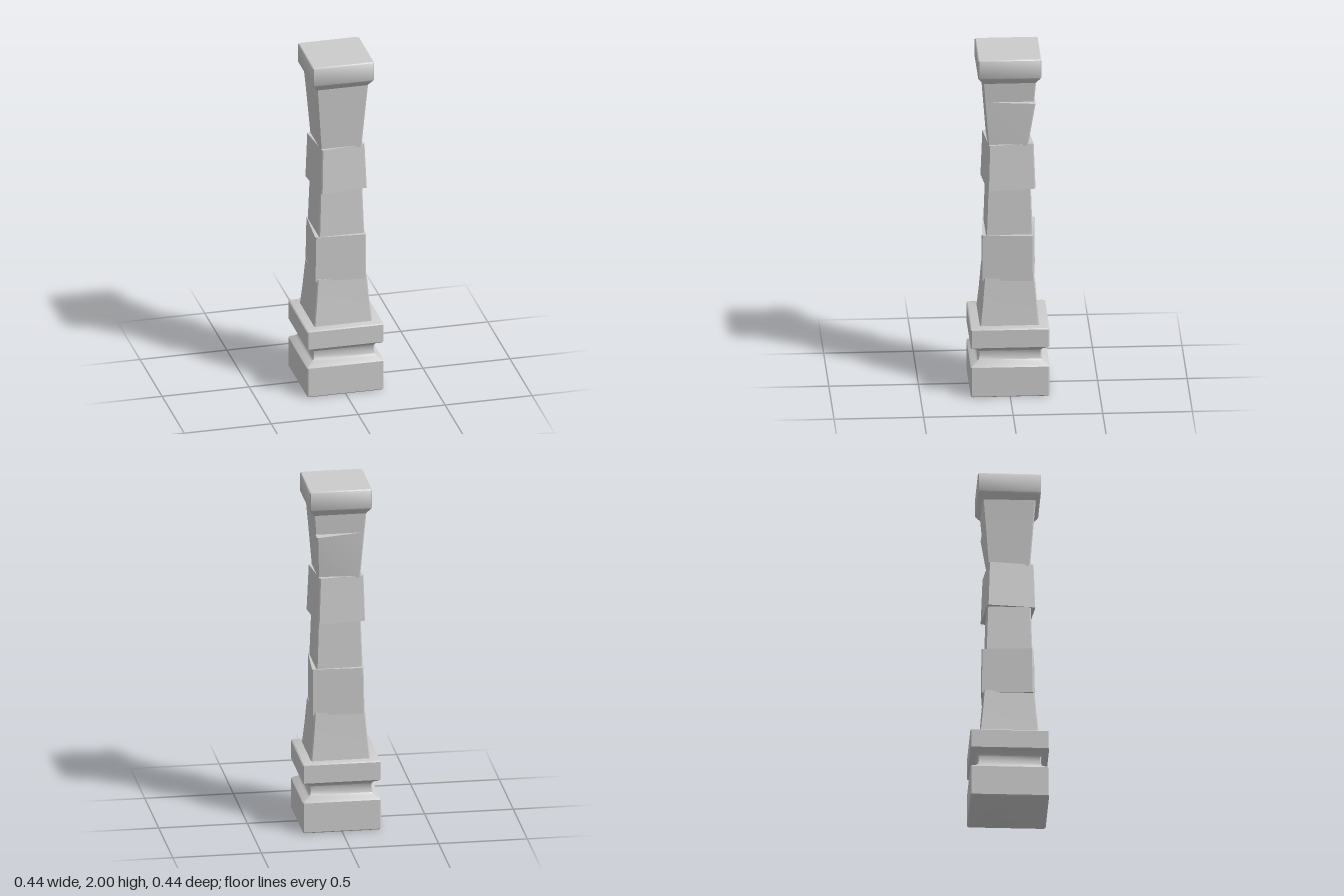
import * as THREE from 'three';
import { toCreasedNormals } from 'three/addons/utils/BufferGeometryUtils.js';

const material = new THREE.MeshStandardMaterial({ color: 0xcccccc });

// Square section of half-width h with chamfered corners
function section(h, y, bevel) {
  const k = h - bevel;
  return [[h, -k], [h, k], [k, h], [-k, h], [-h, k], [-h, -k], [-k, -h], [k, -h]]
    .map(([x, z]) => new THREE.Vector3(x, y, z));
}

// Stone lofted through [y, half-width] levels; warp may shift its points
function stone(name, levels, { bevel = 0.006, turn = 0, tilt = 0, warp } = {}) {
  const rings = levels.map(([y, h]) => section(h, y, bevel));
  if (warp) rings.flat().forEach(warp);
  const points = [];
  for (let i = 0; i < rings.length - 1; i++) {
    for (let j = 0; j < 8; j++) {
      const n = (j + 1) % 8;
      const a = rings[i][j], b = rings[i][n], c = rings[i + 1][n], d = rings[i + 1][j];
      points.push(a, d, c, a, c, b);
    }
  }
  const low = rings[0], top = rings[rings.length - 1];
  for (let j = 1; j < 7; j++) {
    points.push(low[0], low[j], low[j + 1]);
    points.push(top[0], top[j + 1], top[j]);
  }
  const geometry = toCreasedNormals(new THREE.BufferGeometry().setFromPoints(points), 0.7);
  // Turn about the middle of the stone
  const mid = (levels[0][0] + levels[levels.length - 1][0]) / 2;
  geometry.translate(0, -mid, 0).rotateZ(tilt).rotateY(turn).translate(0, mid, 0);
  const mesh = new THREE.Mesh(geometry, material);
  mesh.name = name;
  return mesh;
}

export function createModel() {
  const group = new THREE.Group();
  group.name = 'stonePillar';

  // Plinth with a cove running round it
  group.add(stone('base', [
    [0, 0.214], [0.006, 0.22], [0.177, 0.22], [0.184, 0.214], [0.198, 0.19], [0.21, 0.179],
    [0.235, 0.176], [0.262, 0.177], [0.274, 0.185], [0.288, 0.212], [0.295, 0.22],
    [0.4, 0.22], [0.406, 0.214],
  ]));

  // Tapering shaft stones, with two larger twisted stones between them
  group.add(stone('lowerShaft', [[0.4, 0.167], [0.53, 0.154], [0.68, 0.142]]));
  group.add(stone('lowerTwistedStone', [[0.667, 0.147], [0.937, 0.144]], { turn: -0.075, tilt: -0.008 }));
  group.add(stone('middleShaft', [[0.92, 0.131], [1.22, 0.121]]));
  group.add(stone('upperTwistedStone', [[1.205, 0.135], [1.472, 0.126]], { turn: 0.1, tilt: 0.005 }));

  // Cracked stone: its back corner leans outward and sinks at the top
  group.add(stone('crackedStone', [[1.46, 0.118], [1.735, 0.139]], {
    warp: (p) => {
      if (p.x < 0 || p.z > 0) return;
      if (p.y > 1.6) p.add(new THREE.Vector3(-0.009, -0.018, -0.008));
      else p.z += 0.013;
    },
  }));
  group.add(stone('upperShaft', [[1.735, 0.139], [1.855, 0.149]]));

  // Capital
  group.add(stone('capital', [
    [1.848, 0.147], [1.856, 0.153], [1.878, 0.169], [1.89, 0.176],
    [1.994, 0.176], [2, 0.171],
  ]));
  return group;
}
